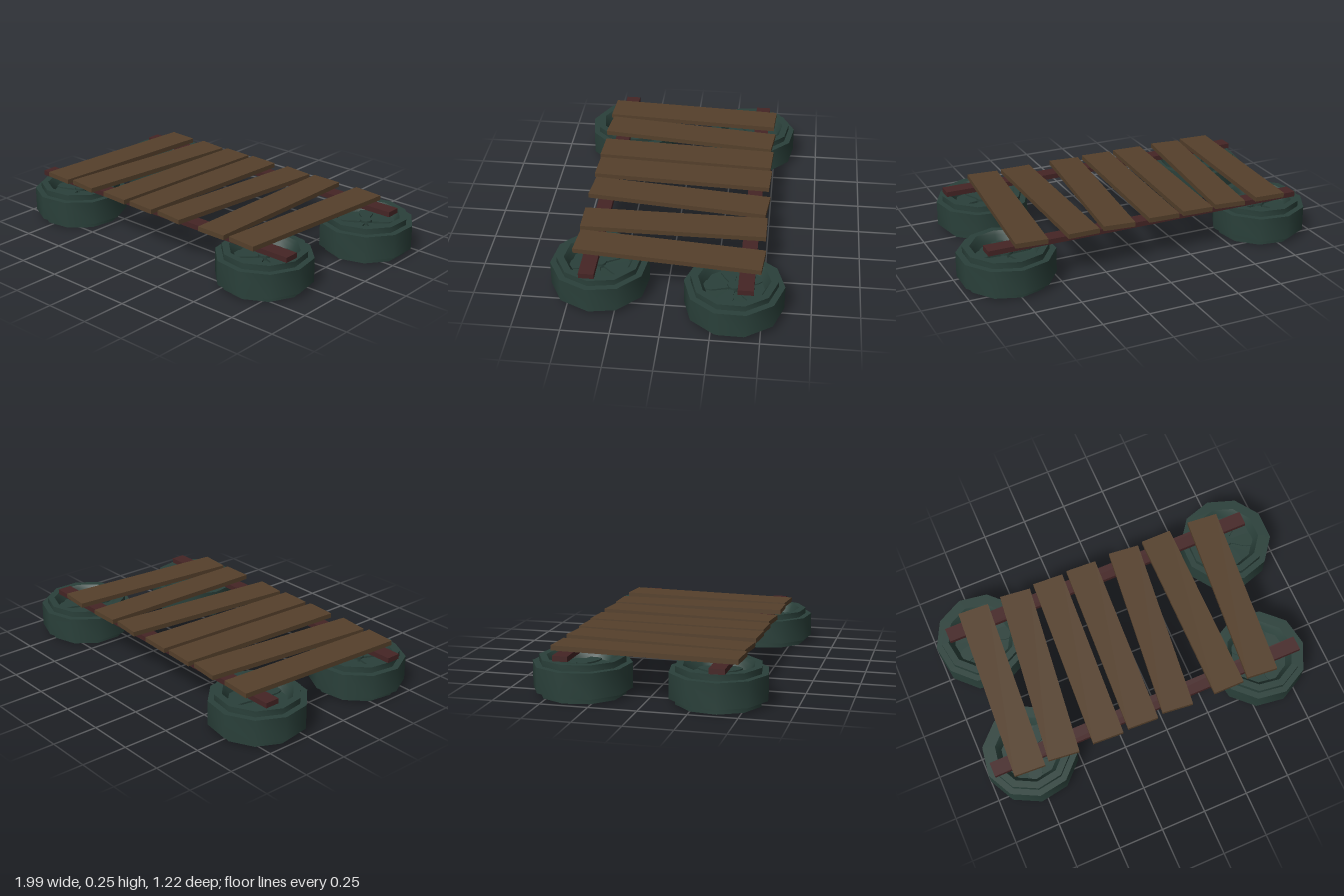
import * as THREE from 'three';
import { toCreasedNormals } from 'three/addons/utils/BufferGeometryUtils.js';

const material = (color) => new THREE.MeshStandardMaterial({ color });
const wood = material(0x55402b);
const darkWood = material(0x452525);
const rubber = material(0x2a403a);

const SIDES = 10;
const HEIGHT = 0.197;

function box(name, size, position, mat, turn = 0) {
  const mesh = new THREE.Mesh(new THREE.BoxGeometry(...size), mat);
  mesh.name = name;
  mesh.position.set(...position);
  mesh.rotation.y = turn;
  return mesh;
}

// Closed wheel body: dished on both faces, stepped between lip and tread
function tyreGeometry() {
  const half = [
    [0.02, 0.06], [0.155, 0.055], [0.172, 0.02], [0.185, 0.0], [0.223, 0.0],
    [0.223, 0.032], [0.257, 0.032],
  ];
  const upper = half.map(([r, y]) => [r, HEIGHT - y]).reverse();
  const points = [...half, ...upper].map(([r, y]) => new THREE.Vector2(r, y));
  return toCreasedNormals(new THREE.LatheGeometry(points, SIDES), THREE.MathUtils.degToRad(38));
}

// Teardrop spoke, widening towards the rim, lying along +z
function spokeGeometry() {
  const shape = new THREE.Shape();
  shape.moveTo(-0.01, -0.02);
  shape.bezierCurveTo(-0.02, -0.07, -0.05, -0.11, -0.035, -0.145);
  shape.quadraticCurveTo(0, -0.17, 0.035, -0.145);
  shape.bezierCurveTo(0.05, -0.11, 0.02, -0.07, 0.01, -0.02);
  const depth = 0.1;
  const geometry = new THREE.ExtrudeGeometry(shape, { depth, bevelEnabled: false, curveSegments: 4 });
  geometry.translate(0, 0, (HEIGHT - depth) / 2);
  return geometry.rotateX(-Math.PI / 2);
}

function createWheel(name, x, z, degrees, tyre, spoke) {
  const wheel = new THREE.Group();
  wheel.name = name;
  const body = new THREE.Mesh(tyre, rubber);
  body.name = 'tyre';
  const hub = new THREE.Mesh(
    toCreasedNormals(new THREE.CylinderGeometry(0.034, 0.034, 0.125, SIDES), 0.66), rubber);
  hub.name = 'hub';
  hub.position.y = HEIGHT / 2;
  wheel.add(body, hub);
  for (let i = 0; i < 5; i++) {
    const arm = new THREE.Mesh(spoke, rubber);
    arm.name = 'spoke';
    arm.rotation.y = (i * Math.PI * 2) / 5;
    wheel.add(arm);
  }
  wheel.position.set(x, 0, z);
  wheel.rotation.y = THREE.MathUtils.degToRad(degrees);
  return wheel;
}

export function createModel() {
  const model = new THREE.Group();
  model.name = 'raft';

  // Four wheels laid flat as floats
  const tyre = tyreGeometry();
  const spoke = spokeGeometry();
  const wheels = [
    ['backRightWheel', -0.747, -0.357, 9],
    ['frontRightWheel', -0.747, 0.352, -9],
    ['backLeftWheel', 0.745, -0.355, -1],
    ['frontLeftWheel', 0.62, 0.35, 10],
  ];
  for (const [name, x, z, turn] of wheels) model.add(createWheel(name, x, z, turn, tyre, spoke));

  // Cross beams resting on the wheels
  model.add(box('backBeam', [1.795, 0.028, 0.08], [-0.022, 0.214, -0.418], darkWood));
  model.add(box('frontBeam', [1.795, 0.028, 0.08], [-0.073, 0.214, 0.388], darkWood));

  // Deck planks, each slightly askew: [x at back end, x at front end]
  const planks = [
    [-0.735, -0.79], [-0.487, -0.595], [-0.29, -0.34], [-0.09, -0.137],
    [0.17, 0.067], [0.37, 0.37], [0.656, 0.57],
  ];
  for (const [back, front] of planks) {
    const turn = Math.atan2(front - back, 0.975);
    model.add(box('deckPlank', [0.172, 0.026, 0.977], [(back + front) / 2, 0.242, -0.009], wood, turn));
  }
  return model;
}
